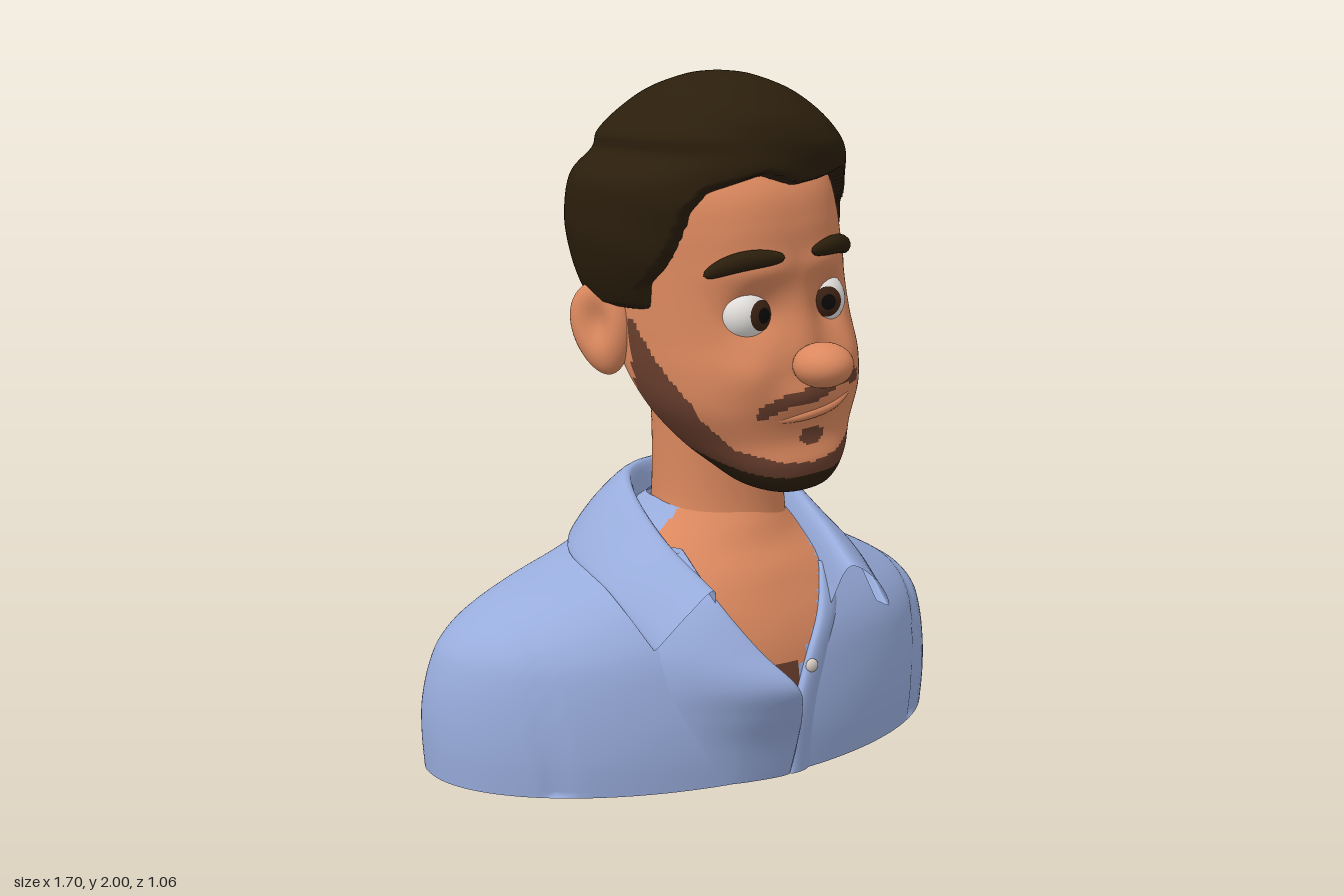
import * as THREE from 'three';

const mat = (name, color, side = THREE.FrontSide) => {
  const m = new THREE.MeshStandardMaterial({ color, side });
  m.name = name;
  return m;
};
const skin = mat('skin', 0xdb885e);
const hairDark = mat('darkHair', 0x2b1e0c);
const stubble = mat('brownBeard', 0x693e2d);
const shirt = mat('blueShirt', 0x98acdc, THREE.DoubleSide);
const eyeWhite = mat('eyeWhite', 0xe6e3e0);
const iris = mat('brownIris', 0x3d2214);
const black = mat('blackPupil', 0x0c0908);
const pearl = mat('buttonPearl', 0xd8cdc4);

const mesh = (name, geo, material) => {
  const m = new THREE.Mesh(geo, material);
  m.name = name;
  return m;
};
const gauss = (a, b) => Math.exp(-(a * a + b * b));

// Straight-line lookup in a list of [input, output] pairs
function lookup(pairs, v) {
  if (v <= pairs[0][0]) return pairs[0][1];
  for (let i = 1; i < pairs.length; i++) {
    const [a, p] = pairs[i - 1], [b, q] = pairs[i];
    if (v <= b) return p + (q - p) * (v - a) / (b - a);
  }
  return pairs[pairs.length - 1][1];
}

// Smooth blend of section rows [y, centreX, halfWidth, zFront, zBack, zWidest]
function rowAt(rows, u) {
  const i = Math.min(Math.floor(u), rows.length - 2), t = u - i;
  const at = k => rows[Math.max(0, Math.min(rows.length - 1, k))];
  return rows[i].map((b, k) => {
    const a = at(i - 1)[k], c = at(i + 1)[k], d = at(i + 2)[k];
    return 0.5 * (2 * b + (c - a) * t + (2 * a - 5 * b + 4 * c - d) * t * t + (3 * b - a - 3 * c + d) * t ** 3);
  });
}

// Closed rounded sections stacked upwards; paint(x,y,z) picks a material index per panel
function loft({ rows, nf, nb, tweak }, cols, steps, paint) {
  const pos = [], buckets = [[], [], []];
  for (let i = 0; i <= steps; i++) {
    const [y, cx, w, zf, zb, zc] = rowAt(rows, i / steps * (rows.length - 1));
    for (let j = 0; j < cols; j++) {
      const a = j / cols * Math.PI * 2, c = Math.cos(a), s = Math.sin(a), e = 2 / (s >= 0 ? nf : nb);
      const p = [cx + w * Math.sign(c) * Math.abs(c) ** e, y,
        zc + (s >= 0 ? zf - zc : zb - zc) * Math.abs(s) ** e];
      if (tweak) tweak(p);
      pos.push(...p);
    }
  }
  for (let i = 0; i < steps; i++) for (let j = 0; j < cols; j++) {
    const k = (j + 1) % cols, a = i * cols + j, b = i * cols + k, c = a + cols, d = b + cols;
    const mid = n => (pos[a * 3 + n] + pos[b * 3 + n] + pos[c * 3 + n] + pos[d * 3 + n]) / 4;
    buckets[paint ? paint(mid(0), mid(1), mid(2)) : 0].push(a, c, b, b, c, d);
  }
  const geo = new THREE.BufferGeometry();
  geo.setAttribute('position', new THREE.Float32BufferAttribute(pos, 3));
  geo.setIndex(buckets.flat());
  let start = 0;
  if (paint) buckets.forEach((b, k) => { geo.addGroup(start, b.length, k); start += b.length; });
  geo.computeVertexNormals();
  return geo;
}

// Depth of the front surface of a lofted body at (x, y)
function frontZ({ rows, nf, tweak }, x, y) {
  let lo = 0, hi = rows.length - 1;
  for (let k = 0; k < 30; k++) {
    const m = (lo + hi) / 2;
    if (rowAt(rows, m)[0] < y) lo = m; else hi = m;
  }
  const [, cx, w, zf, , zc] = rowAt(rows, lo);
  const p = [x, y, zc + (zf - zc) * Math.max(0, 1 - Math.abs((x - cx) / w) ** nf) ** (1 / nf)];
  tweak(p);
  return p[2];
}

// Cloth sheet through several guide curves
function sheet(guides, along = 48, across = 16) {
  const curves = guides.map(g => new THREE.CatmullRomCurve3(g.map(p => new THREE.Vector3(...p))));
  const pos = [], idx = [];
  for (let i = 0; i <= along; i++) {
    const line = new THREE.CatmullRomCurve3(curves.map(c => c.getPoint(i / along)));
    for (let j = 0; j <= across; j++) pos.push(...line.getPoint(j / across).toArray());
  }
  for (let i = 0; i < along; i++) for (let j = 0; j < across; j++) {
    const a = i * (across + 1) + j, b = a + across + 1;
    idx.push(a, b, a + 1, a + 1, b, b + 1);
  }
  const geo = new THREE.BufferGeometry();
  geo.setAttribute('position', new THREE.Float32BufferAttribute(pos, 3));
  geo.setIndex(idx);
  geo.computeVertexNormals();
  return geo;
}

// Tube that swells to radius r and closes at both ends
function sweep(points, r, seg = 24, sides = 14) {
  const curve = new THREE.CatmullRomCurve3(points.map(p => new THREE.Vector3(...p)));
  const geo = new THREE.TubeGeometry(curve, seg, 1, sides), pos = geo.attributes.position, v = new THREE.Vector3();
  for (let k = 0; k < pos.count; k++) {
    const t = Math.floor(k / (sides + 1)) / seg, c = curve.getPointAt(t);
    v.fromBufferAttribute(pos, k).sub(c).multiplyScalar(r * Math.max(0, Math.sin(Math.PI * t)) ** 0.4).add(c);
    pos.setXYZ(k, v.x, v.y, v.z);
  }
  return geo;
}

const headBody = {
  nf: 2.4, nb: 1.8,
  rows: [[0.838, 0, 0, 0.27, 0.27, 0.27], [0.845, 0, 0.08, 0.335, 0.19, 0.26], [0.875, 0, 0.145, 0.362, 0.13, 0.22],
    [0.93, 0, 0.2, 0.372, 0.08, 0.17], [1, 0, 0.255, 0.36, 0.03, 0.1], [1.1, 0, 0.312, 0.375, -0.05, 0.04],
    [1.2, 0, 0.332, 0.375, -0.2, -0.02], [1.3, 0, 0.33, 0.36, -0.32, -0.05], [1.4, 0, 0.32, 0.355, -0.38, -0.05],
    [1.5, 0, 0.308, 0.36, -0.4, -0.05], [1.6, 0, 0.3, 0.358, -0.4, -0.05], [1.7, 0, 0.285, 0.33, -0.37, -0.05],
    [1.8, 0, 0.24, 0.24, -0.3, -0.05], [1.88, 0, 0.13, 0.1, -0.18, -0.05], [1.9, 0, 0, -0.05, -0.05, -0.05]],
  // Cheeks, mouth mound, brow ridge, nose bridge and eye sockets
  tweak(p) {
    if (p[2] < 0.05) return;
    const x = Math.abs(p[0]), y = p[1];
    p[2] += 0.022 * gauss((x - 0.17) / 0.07, (y - 1.2) / 0.07) + 0.022 * gauss(x / 0.13, (y - 1.12) / 0.05)
      + 0.015 * gauss((x - 0.12) / 0.1, (y - 1.48) / 0.04) - 0.042 * gauss((x - 0.128) / 0.065, (y - 1.36) / 0.06)
      + 0.022 * gauss(x / 0.055, (y - 1.27) / 0.09);
  },
};
const torsoBody = {
  nf: 1.9, nb: 2.7,
  rows: [[0, 0, 0.843, 0.3, -0.53, -0.23], [0.1, 0, 0.85, 0.31, -0.528, -0.23], [0.2, 0, 0.848, 0.31, -0.52, -0.23],
    [0.3, 0, 0.83, 0.3, -0.505, -0.22], [0.38, 0, 0.797, 0.285, -0.49, -0.21], [0.45, 0, 0.725, 0.26, -0.475, -0.2],
    [0.52, 0, 0.6, 0.225, -0.455, -0.18], [0.58, 0.01, 0.46, 0.19, -0.44, -0.16], [0.64, 0.01, 0.33, 0.14, -0.42, -0.14],
    [0.7, 0.02, 0.24, 0.1, -0.36, -0.12], [0.76, 0.03, 0.19, 0.05, -0.27, -0.11]],
  // Sleeve seam groove across the front
  tweak(p) {
    if (p[1] < 0.5 && p[1] > 0.001 && p[2] > -0.2)
      p[2] -= 0.014 * gauss((Math.abs(p[0]) - 0.62 - p[1] * 0.13) / 0.022, 0);
  },
};

// Beard, moustache and soul patch regions of the face
const cheekX = [[0, 0.93], [0.1, 0.945], [0.2, 0.99], [0.27, 1.08], [0.31, 1.2], [0.33, 1.4]];
const cheekZ = [[0.01, 1.35], [0.08, 1.27], [0.15, 1.2], [0.24, 1.1], [0.28, 1.03], [0.36, 0.95]];
const jawZ = [[0.9, 0], [0.96, 0.07], [1.05, 0.03], [1.15, 0.005], [1.35, -0.01]];
const lipLine = [[-0.16, 1.09], [-0.08, 1.122], [0.01, 1.127], [0.11, 1.155], [0.197, 1.14]];
function paintFace(x, y, z) {
  if (z > 0.15) {
    if (x > -0.16 && x < 0.197 && Math.abs(y - lookup(lipLine, x)) < 0.021) return 1;
    if (Math.hypot((x - 0.01) / 0.04, (y - 1.005) / 0.026) < 1) return 1;
  }
  if (z < lookup(jawZ, y)) return 0;
  if (y > lookup(cheekX, Math.abs(x)) || y > lookup(cheekZ, z)) return 0;
  return y < 0.9 + (0.35 - z) * 0.35 ? 2 : 1;
}

// Open shirt neck with a little chest hair
const neckR = [[0.22, 0.03], [0.33, -0.05], [0.43, -0.13], [0.55, -0.2], [0.8, -0.25]];
const neckL = [[0.22, 0.03], [0.35, 0.1], [0.45, 0.17], [0.58, 0.24], [0.8, 0.27]];
function paintTorso(x, y, z) {
  if (z < -0.02 || y < 0.21 || x < lookup(neckR, y) || x > lookup(neckL, y)) return 0;
  return y < 0.33 && x < 0.05 ? 2 : 1;
}

// Hair is tucked inside the head wherever face, ear or nape shows
const hairline = [[-0.38, 1.35], [-0.335, 1.5], [-0.3, 1.65], [-0.26, 1.7], [-0.1, 1.745], [0, 1.71], [0.1, 1.72], [0.2, 1.74], [0.25, 1.69], [0.31, 1.63], [0.4, 1.6]];
const sideburn = [[1.3, 0.07], [1.36, 0.1], [1.5, 0.12], [1.65, 0.13], [1.7, 0.21], [1.75, 0.27]];
const hairBody = {
  nf: 2.2, nb: 1.75,
  rows: [[1.1, 0.03, 0.19, 0, -0.275, -0.1], [1.2, 0.02, 0.26, 0.05, -0.335, -0.1], [1.3, 0, 0.325, 0.18, -0.395, -0.09],
    [1.4, -0.017, 0.372, 0.28, -0.44, -0.08], [1.5, -0.037, 0.388, 0.33, -0.467, -0.07], [1.6, -0.045, 0.395, 0.355, -0.48, -0.06],
    [1.71, -0.045, 0.383, 0.37, -0.462, -0.04], [1.78, -0.022, 0.343, 0.378, -0.42, -0.03], [1.83, -0.03, 0.325, 0.37, -0.385, -0.02],
    [1.89, -0.035, 0.265, 0.335, -0.32, 0], [1.95, -0.045, 0.185, 0.25, -0.2, 0.03], [1.99, -0.05, 0.085, 0.14, -0.05, 0.04], [2, -0.05, 0, 0.045, 0.045, 0.045]],
  tweak(p) {
    const [x, y, z] = p, step = THREE.MathUtils.smoothstep;
    const face = step(lookup(hairline, x) - y, 0, 0.03) * step(z - lookup(sideburn, y), 0, 0.03);
    const bare = step(Math.min(1.36, 1.12 + (z + 0.28) * 1.45) - y, 0, 0.03);
    const wave = 0.016 * Math.sin(y * 38 + x * 14) * Math.max(0, z + 0.1);
    const k = (1 + wave) * (1 - 0.2 * Math.max(face, bare));
    p[0] = 0.01 + (x - 0.01) * k;
    p[2] = -0.05 + (z + 0.05) * k;
  },
};

// Cupped ear: flattened ball, hollowed on the outside, narrower at the lobe
function buildEar() {
  const geo = new THREE.SphereGeometry(1, 40, 32).scale(0.056, 0.134, 0.092), pos = geo.attributes.position;
  for (let k = 0; k < pos.count; k++) {
    const x = pos.getX(k), y = pos.getY(k), z = pos.getZ(k);
    if (x > 0) pos.setX(k, x - 0.04 * gauss((y - 0.02) / 0.065, z / 0.042));
    pos.setZ(k, z * (1 + y * 1.4));
  }
  geo.computeVertexNormals();
  const ear = mesh('earShell', geo, skin);
  ear.position.set(0.36, 1.315, -0.1);
  ear.rotation.set(-0.2, -0.55, 0);
  return ear;
}

function buildHead() {
  const head = new THREE.Group();
  head.name = 'head';
  head.position.set(0.127, 0.005, 0);
  head.rotation.set(0, 0.03, 0.09);
  head.add(mesh('face', loft(headBody, 220, 150, paintFace), [skin, stubble, hairDark]));
  for (const s of [1, -1]) {
    const side = s > 0 ? 'left' : 'right';
    const ear = new THREE.Group();
    ear.name = side + 'Ear';
    ear.scale.x = s;
    ear.add(buildEar());
    head.add(ear);
    // Eye with stacked iris and pupil caps
    const eye = new THREE.Group();
    eye.name = side + 'Eye';
    eye.position.set(s * 0.128, 1.36, 0.264);
    eye.rotation.y = -s * 0.22;
    const cap = (r, a) => new THREE.SphereGeometry(r, 28, 8, 0, Math.PI * 2, 0, a).rotateX(Math.PI / 2);
    eye.add(mesh('eyeball', new THREE.SphereGeometry(0.08, 32, 24), eyeWhite),
      mesh('iris', cap(0.0815, 0.55), iris), mesh('pupil', cap(0.083, 0.27), black));
    head.add(eye);
    const brow = [[0.045, 1.513], [0.14, 1.518], [0.19, 1.508], [0.24, 1.48]]
      .map(([x, y]) => [s * x, y, frontZ(headBody, x, y) + 0.005]);
    head.add(mesh(side + 'Eyebrow', sweep(brow, 0.027), hairDark));
  }
  head.add(mesh('nose', new THREE.SphereGeometry(1, 32, 24).scale(0.081, 0.062, 0.09).translate(0.005, 1.215, 0.44), skin));
  const lip = [[-0.11, 1.064], [-0.02, 1.068], [0.08, 1.08], [0.16, 1.105]].map(([x, y]) => [x, y, frontZ(headBody, x, y) - 0.005]);
  head.add(mesh('lowerLip', sweep(lip, 0.015), skin));
  return head;
}

function buildShirt() {
  const g = new THREE.Group();
  g.name = 'shirt';
  g.add(mesh('torso', loft(torsoBody, 140, 80, paintTorso), [shirt, skin, stubble]));
  const centre = [0, 0, 0, -0.23, -0.23, -0.23];
  g.add(mesh('base', loft({ ...torsoBody, rows: [centre, torsoBody.rows[0]] }, 140, 2), shirt));
  // Folded collar: inner stand, fold, drape, hem and turned-under edge
  const ring = half => [...half, ...half.slice(0, -1).reverse().map(([x, y, z]) => [0.02 - x, y, z])];
  const fold = [[0.245, 0.585, 0.3], [0.275, 0.69, 0.08], [0.26, 0.8, -0.13], [0.16, 0.828, -0.28], [0.01, 0.835, -0.325]];
  const hem = [[0.415, 0.43, 0.26], [0.44, 0.55, 0.06], [0.415, 0.61, -0.23], [0.27, 0.635, -0.405], [0.01, 0.65, -0.44]];
  const drape = fold.map((p, i) => p.map((v, k) => (v + hem[i][k]) / 2 + [0.008, 0.02, i ? -0.008 : 0.025][k]));
  const stand = fold.map(([x, y, z]) => [x * 0.88, y - 0.12, z * 0.88 - 0.02]);
  const under = hem.map(([x, y, z]) => [x * 0.95, y + 0.01, z * 0.88]);
  g.add(mesh('collar', sheet([stand, fold, drape, hem, under].map(ring), 80, 24), shirt));
  // Loose right front edge
  const edge = [[0.03, 0.002, 0.31], [0.03, 0.12, 0.35], [0, 0.22, 0.41], [-0.04, 0.31, 0.45], [-0.12, 0.41, 0.38], [-0.2, 0.55, 0.27], [-0.215, 0.66, 0.12]];
  const seam = [[-0.25, 0.002], [-0.29, 0.12], [-0.33, 0.22], [-0.36, 0.31], [-0.37, 0.41], [-0.34, 0.52], [-0.27, 0.62]]
    .map(([x, y]) => [x, y, frontZ(torsoBody, x, y) - 0.012]);
  const middle = edge.map((p, i) => p.map((v, k) => (v + seam[i][k]) / 2 + (k === 2 ? 0.02 + 0.02 * Math.sin(Math.PI * i / 6) : 0)));
  const back = edge.map(([x, y, z]) => [x - 0.035, y, z - 0.08]);
  g.add(mesh('rightLapel', sheet([back, edge, middle, seam]), shirt));
  // Left button band
  const band = (dx, dz) => [[0.03, 0.002], [0.045, 0.2], [0.1, 0.34], [0.17, 0.45], [0.24, 0.57]]
    .map(([x, y]) => [x + dx, y, frontZ(torsoBody, x + dx, y) + dz]);
  g.add(mesh('buttonBand', sheet([band(-0.005, -0.02), band(0, 0.016), band(0.05, 0.014), band(0.09, -0.008)]), shirt));
  g.add(mesh('button', new THREE.SphereGeometry(0.02, 18, 12).scale(1, 1, 0.6)
    .translate(0.1, 0.315, frontZ(torsoBody, 0.1, 0.315) + 0.02), pearl));
  return g;
}

export function createModel() {
  const model = new THREE.Group();
  model.name = 'bust';
  const neck = { nf: 2, nb: 2, rows: [[0.5, 0.03, 0.25, 0.15, -0.3, -0.1], [0.62, 0.035, 0.23, 0.1, -0.3, -0.1], [0.75, 0.045, 0.207, 0.075, -0.285, -0.1],
    [0.95, 0.045, 0.205, 0.075, -0.272, -0.1], [1.1, 0.035, 0.205, 0.08, -0.268, -0.1], [1.25, 0.02, 0.2, 0.05, -0.25, -0.1]] };
  model.add(mesh('neck', loft(neck, 64, 30), skin));
  model.add(mesh('hair', loft(hairBody, 160, 110), hairDark));
  model.add(buildHead(), buildShirt());
  return model;
}
